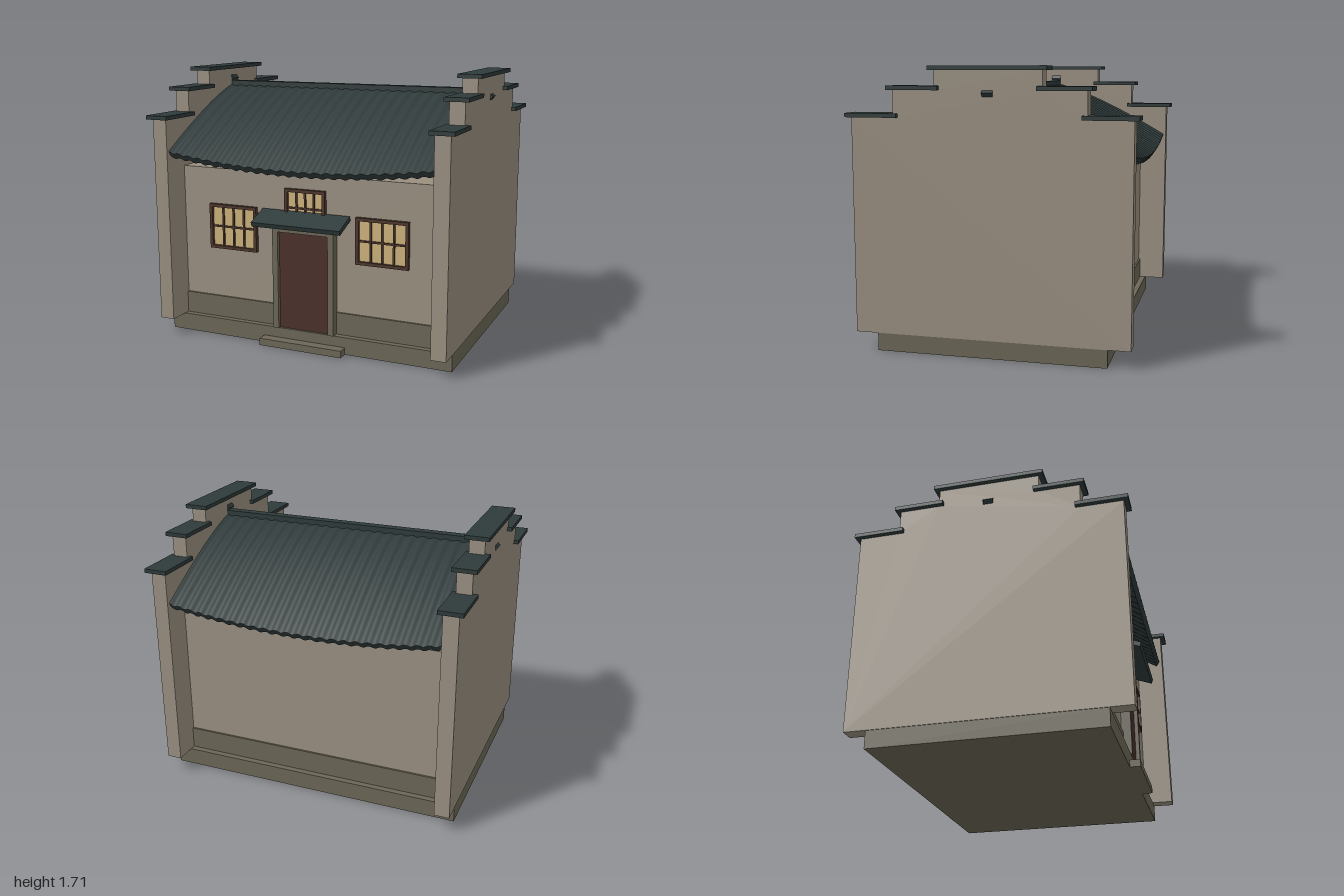
import * as THREE from 'three';
import { ParametricGeometry } from 'three/addons/geometries/ParametricGeometry.js';

const paint = (name, color) => Object.assign(new THREE.MeshStandardMaterial({ color }), { name });

export function createModel() {
  const plaster = paint('plaster', 0x9a9081);
  const stone = paint('stone', 0x6c6757);
  const tile = paint('dark tile', 0x2f3a3a);
  const doorWood = paint('door wood', 0x4a302a);
  const frameWood = paint('frame wood', 0x4c352c);
  const glow = paint('window paper', 0xcdb37c);

  const house = new THREE.Group();
  house.name = 'house';

  const add = (name, geometry, material, parent = house) => {
    const mesh = new THREE.Mesh(geometry, material);
    mesh.name = name;
    parent.add(mesh);
    return mesh;
  };
  // Box given by its extents on each axis
  const box = (name, material, [x0, x1], [y0, y1], [z0, z1], parent) => {
    const mesh = add(name, new THREE.BoxGeometry(x1 - x0, y1 - y0, z1 - z0), material, parent);
    mesh.position.set((x0 + x1) / 2, (y0 + y1) / 2, (z0 + z1) / 2);
    return mesh;
  };

  // Base and walls
  box('plinth', stone, [-0.965, 0.965], [0, 0.11], [-0.7, 0.7]);
  box('doorStep', stone, [-0.28, 0.28], [0, 0.045], [0.7, 0.765]);
  box('body', plaster, [-0.88, 0.88], [0.11, 1.095], [-0.65, 0.65]);
  box('skirting', stone, [-0.878, 0.878], [0.11, 0.25], [-0.662, 0.662]);

  // Stepped gable walls with flat tile caps
  const steps = [[0.32, 1.685], [0.575, 1.57], [0.835, 1.41]];
  const outline = [[-0.835, 0.11], [0.835, 0.11], [0.835, 1.41], [0.575, 1.41], [0.575, 1.57], [0.32, 1.57],
    [0.32, 1.685], [-0.32, 1.685], [-0.32, 1.57], [-0.575, 1.57], [-0.575, 1.41], [-0.835, 1.41]];
  const gableShape = new THREE.Shape(outline.map(([z, y]) => new THREE.Vector2(z, y)));
  const gableGeometry = new THREE.ExtrudeGeometry(gableShape, { depth: 0.095, bevelEnabled: false });
  gableGeometry.translate(0, 0, -0.0475).rotateY(-Math.PI / 2);
  for (const side of [1, -1]) {
    const gable = new THREE.Group();
    gable.name = side > 0 ? 'leftGable' : 'rightGable';
    gable.position.x = side * 0.9225;
    house.add(gable);
    add('gableWall', gableGeometry, plaster, gable);
    const capX = [-0.0725, 0.0775].map((x) => x * side).sort((a, b) => a - b);
    box('topCap', tile, capX, [1.685, 1.71], [-0.35, 0.35], gable);
    for (const [inner, outer, y] of [[0.29, 0.605, steps[1][1]], [0.545, 0.865, steps[2][1]]]) {
      box('stepCap', tile, capX, [y, y + 0.025], [inner, outer], gable);
      box('stepCap', tile, capX, [y, y + 0.025], [-outer, -inner], gable);
    }
    // Tilted ridge end running through the gable
    const tip = add('ridgeEnd', new THREE.BoxGeometry(0.14, 0.03, 0.064), tile, gable);
    tip.position.set(0, 1.587, 0);
    tip.rotation.z = -side * 0.65;
  }

  // Rippled roof slopes, bulging outward and sagging at mid eave
  const halfX = 0.878;
  const surface = (x, t, under, target) => {
    const s = x / halfX;
    const drop = 0.435 - 0.065 * s * s;
    const ripple = 0.005 * Math.cos((s + 1) * Math.PI * 24);
    target.set(
      x,
      1.575 - drop * Math.pow(t, 1.3) + ripple - 0.033 * under,
      (0.826 - 0.01 * s * s) * t - 0.023 * under * t
    );
  };
  const across = (u) => halfX * (1 - 2 * u);
  const patches = {
    roofTop: new ParametricGeometry((u, v, p) => surface(across(u), v, 0, p), 192, 16),
    roofEave: new ParametricGeometry((u, v, p) => surface(across(u), 1, v, p), 192, 1),
    roofUnderside: new ParametricGeometry((u, v, p) => surface(-across(u), v, 1, p), 192, 16),
  };
  for (const [name, turn] of [['frontRoof', 0], ['backRoof', Math.PI]]) {
    const slope = new THREE.Group();
    slope.name = name;
    slope.rotation.y = turn;
    house.add(slope);
    for (const part in patches) add(part, patches[part], tile, slope);
  }
  box('ridge', tile, [-0.878, 0.878], [1.55, 1.602], [-0.03, 0.03]);

  // Doorway with tilted canopy
  for (const s of [1, -1]) {
    box('doorPost', stone, s > 0 ? [0.17, 0.207] : [-0.207, -0.17], [0.11, 0.785], [0.64, 0.71]);
  }
  box('doorLintel', stone, [-0.17, 0.17], [0.735, 0.785], [0.64, 0.71]);
  box('door', doorWood, [-0.17, 0.17], [0.11, 0.735], [0.64, 0.685]);
  const canopy = add('doorCanopy', new THREE.BoxGeometry(0.594, 0.03, 0.165), tile);
  canopy.position.set(0, 0.822, 0.732);
  canopy.rotation.x = 0.36;

  // Lattice windows
  const addWindow = (name, cx, cy, w, h) => {
    const win = new THREE.Group();
    win.name = name;
    win.position.set(cx, cy, 0.65);
    house.add(win);
    const b = 0.02, x = w / 2, y = h / 2;
    box('pane', glow, [-x + b, x - b], [-y + b, y - b], [0, 0.008], win);
    box('frameTop', frameWood, [-x, x], [y - b, y], [-0.01, 0.026], win);
    box('frameBottom', frameWood, [-x, x], [-y, -y + b], [-0.01, 0.026], win);
    box('frameSide', frameWood, [-x, -x + b], [-y + b, y - b], [-0.01, 0.026], win);
    box('frameSide', frameWood, [x - b, x], [-y + b, y - b], [-0.01, 0.026], win);
    const pitch = (w - 2 * b) / 4;
    for (const i of [-1, 0, 1]) {
      box('uprightBar', frameWood, [i * pitch - 0.006, i * pitch + 0.006], [-y + b, y - b], [0, 0.018], win);
    }
    box('crossBar', frameWood, [-x + b, x - b], [-0.006, 0.006], [0, 0.017], win);
  };
  addWindow('leftWindow', 0.508, 0.72, 0.338, 0.29);
  addWindow('rightWindow', -0.508, 0.72, 0.338, 0.29);
  addWindow('transomWindow', 0, 0.885, 0.274, 0.24);

  return house;
}
